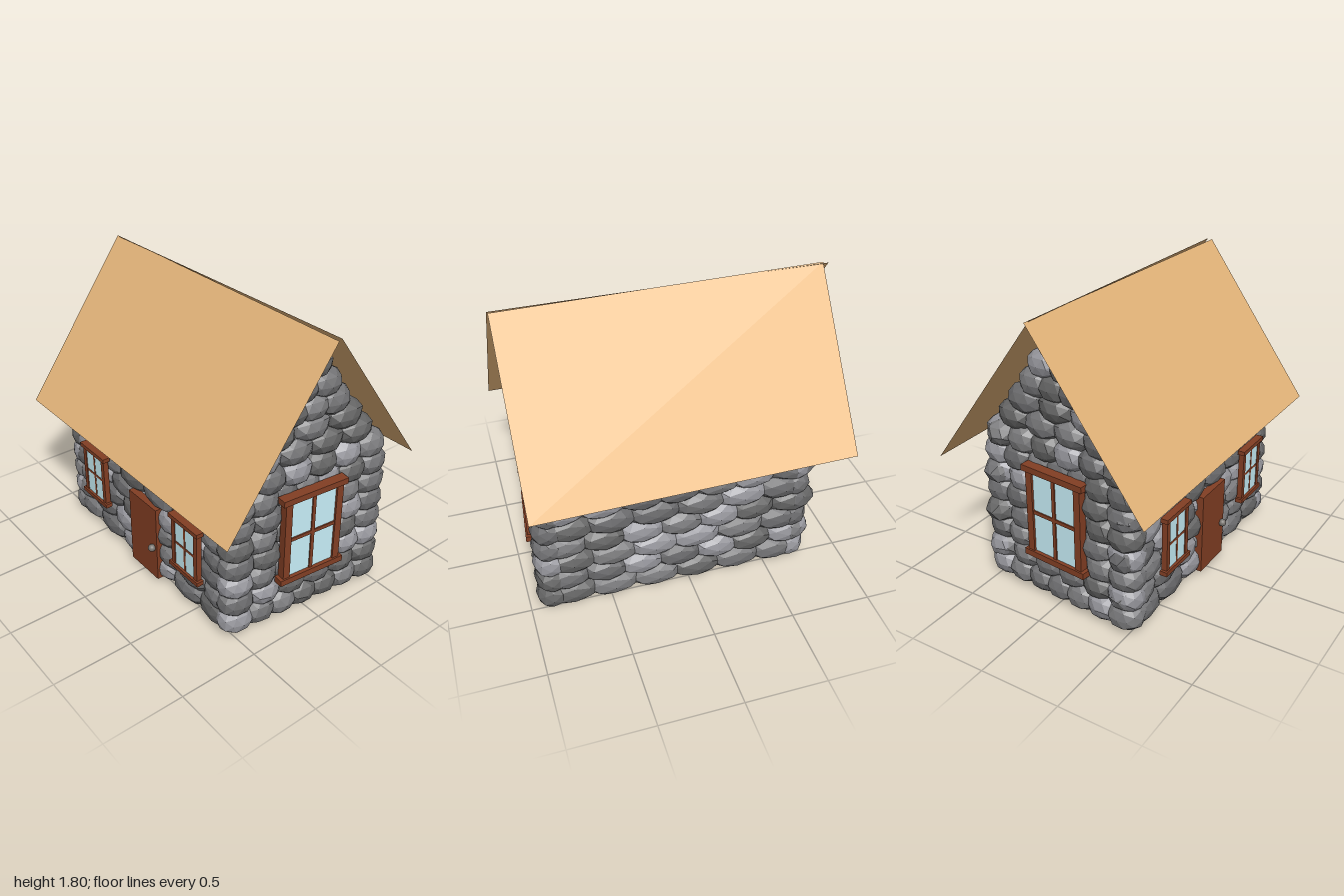
import * as THREE from 'three';

const mat = (color, extra = {}) => new THREE.MeshStandardMaterial({ color, ...extra });

export function createModel() {
  const house = new THREE.Group();
  house.name = 'stoneCottage';
  const wood = mat(0x833f24);
  const glass = mat(0xcaf2fb);
  const iron = mat(0x77736e);
  const thatch = mat(0xe6b67b, { side: THREE.DoubleSide });
  const shades = [0x666666, 0x727274, 0x6a6a6c, 0x96969c, 0x7c7c7e].map(c => mat(c, { flatShading: true }));

  let seed = 7;
  const rand = () => (seed = (seed * 16807) % 2147483647) / 2147483647;

  const add = (parent, name, geometry, material, x = 0, y = 0, z = 0) => {
    const mesh = new THREE.Mesh(geometry, material);
    mesh.name = name;
    mesh.position.set(x, y, z);
    parent.add(mesh);
    return mesh;
  };
  const box = (parent, name, material, w, h, d, x, y, z) =>
    add(parent, name, new THREE.BoxGeometry(w, h, d), material, x, y, z);
  const group = name => {
    const g = new THREE.Group();
    g.name = name;
    house.add(g);
    return g;
  };

  // A few rough boulders: faceted balls with small bumps
  const boulders = [1, 2, 3, 4].map(k => {
    const g = new THREE.IcosahedronGeometry(1, 1);
    const p = g.attributes.position;
    const square = v => Math.sign(v) * Math.abs(v) ** 0.94;
    for (let i = 0; i < p.count; i++) {
      const [x, y, z] = [p.getX(i), p.getY(i), p.getZ(i)];
      const bump = 0.97 + 0.04 * Math.sin(5 * x + 3 * k) * Math.cos(4 * y - 2 * k + 3 * z);
      p.setXYZ(i, square(x) * bump, square(y) * bump, square(z) * bump);
    }
    g.computeVertexNormals();
    return g;
  });
  const stone = (parent, x, y, z, rx, ry, rz) => {
    const m = add(parent, 'stone', boulders[Math.floor(rand() * 4)],
      shades[Math.floor(rand() * shades.length)], x, y, z);
    m.scale.set(rx, ry, rz);
  };

  const rows = 8, firstRow = 0.097, rowStep = 0.127;
  const skew = -0.1; // the end walls stand slightly out of square

  // Long front and back walls in staggered courses, the top one tucked under the eaves
  for (const side of [1, -1]) {
    const wall = group(side > 0 ? 'frontWall' : 'backWall');
    wall.position.x = side > 0 ? 0 : 0.075;
    for (let r = 0; r < rows; r++) {
      const odd = r % 2, n = odd ? 7 : 6;
      const from = odd ? -0.72 : -0.66, to = odd ? 0.7 : 0.67;
      const z = side * (r === rows - 1 ? 0.42 : 0.462);
      for (let i = 0; i < n; i++) {
        const x = from + (to - from) * i / (n - 1) + (rand() - 0.5) * 0.03;
        stone(wall, x, firstRow + r * rowStep, z, odd ? 0.17 : 0.19, 0.099, 0.108);
      }
    }
  }

  // End walls, with shrinking courses up to the gable peak: [count, half span, ry, rz]
  const gable = [[4, 0.315, 0.095, 0.135], [3, 0.23, 0.095, 0.135], [3, 0.14, 0.095, 0.13],
    [2, 0.078, 0.09, 0.122], [1, 0, 0.08, 0.127]];
  for (const [name, cx, out] of [['leftEndWall', 0.81, 1], ['rightEndWall', -0.725, -1]]) {
    const wall = group(name);
    wall.position.x = cx;
    wall.rotation.y = skew;
    for (let r = 0; r < rows; r++) {
      const n = r % 2 ? 6 : 7;
      const half = r === rows - 1 ? 0.435 : 0.457;
      for (let i = 0; i < n; i++) {
        const z = -half + 2 * half * i / (n - 1);
        // stones behind the window are set back
        const inset = r > 1 && r < 7 && Math.abs(z) < 0.25 ? 0.03 : 0;
        stone(wall, -out * inset, firstRow + r * rowStep, z, 0.105, 0.099, 0.118);
      }
    }
    gable.forEach(([n, half, ry, rz], r) => {
      for (let i = 0; i < n; i++) {
        const z = n > 1 ? -half + 2 * half * i / (n - 1) : 0;
        stone(wall, 0, 1.12 + r * 0.121, z, 0.105, ry, rz);
      }
    });
  }

  // Floor slab
  const floor = box(house, 'floor', wood, 1.5, 0.03, 0.94, 0.04, 0.045, 0);
  floor.rotation.y = -0.02;

  // Roof: two thin slopes, the back one sitting a little askew
  const slope = (name, corners) => {
    const g = new THREE.BufferGeometry();
    g.setAttribute('position', new THREE.Float32BufferAttribute(corners.flat(), 3));
    g.setIndex([0, 1, 2, 0, 2, 3]);
    g.computeVertexNormals();
    add(house, name, g, thatch);
  };
  slope('frontRoof', [[-1, 0.83, 0.7], [1, 0.83, 0.7], [1, 1.8, 0], [-1, 1.8, 0]]);
  slope('backRoof', [[0.98, 0.87, -0.71], [-0.98, 0.87, -0.675], [-0.97, 1.805, 0.01], [0.995, 1.805, -0.025]]);

  // Four-pane window facing +z: frame, crossbars, head and sill
  const makeWindow = (name, w, h, bar, d, x, y, z, turn = 0) => {
    const g = group(name);
    box(g, 'pane', glass, w - bar, h - bar, 0.016, 0, 0, 0.004);
    for (const s of [1, -1]) {
      box(g, 'jamb', wood, bar, h, d, s * (w - bar) / 2, 0, 0);
      box(g, s > 0 ? 'head' : 'sill', wood, w + bar, bar * 0.85, d + 0.012, 0, s * (h - bar * 0.85) / 2, 0.004);
    }
    box(g, 'mullion', wood, bar * 0.5, h, d * 0.8, 0, 0, 0);
    box(g, 'crossbar', wood, w, bar * 0.5, d * 0.8, 0, 0, 0);
    g.position.set(x, y, z);
    g.rotation.y = turn;
  };
  makeWindow('frontLeftWindow', 0.24, 0.37, 0.032, 0.035, 0.49, 0.48, 0.587);
  makeWindow('frontRightWindow', 0.24, 0.37, 0.032, 0.035, -0.47, 0.48, 0.587);
  makeWindow('leftEndWindow', 0.4, 0.59, 0.045, 0.05, 0.9, 0.585, 0.01, Math.PI / 2 + skew);
  makeWindow('rightEndWindow', 0.4, 0.59, 0.045, 0.05, -0.815, 0.585, 0.01, -Math.PI / 2 + skew);

  // Door and knob
  box(house, 'door', wood, 0.28, 0.52, 0.05, 0.03, 0.29, 0.55);
  add(house, 'doorKnob', new THREE.SphereGeometry(0.024, 16, 12), iron, 0.135, 0.26, 0.588);

  return house;
}
